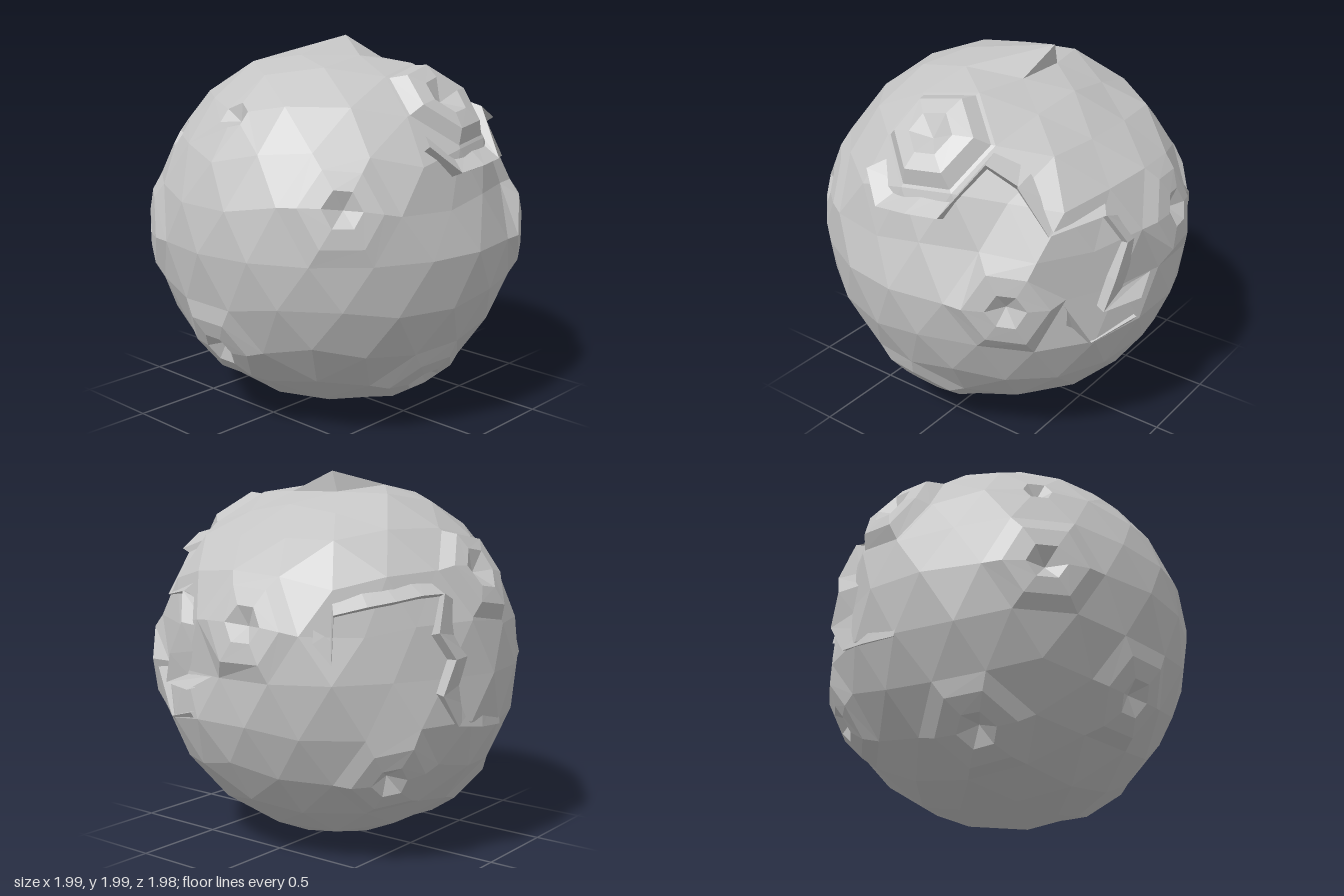
import * as THREE from 'three';
import { mergeVertices } from 'three/addons/utils/BufferGeometryUtils.js';

const V = (a) => new THREE.Vector3(...a);
const stone = new THREE.MeshStandardMaterial({ color: 0xc4c4c4, flatShading: true, side: THREE.DoubleSide });
stone.name = 'grey stone';
const R = 0.988;

// Craters: direction, rim height above the sphere, and whether the rim is a tall block
const craters = [
  { at: [0.02, 0.73, 0.68], rim: 0.05, tall: true },
  { at: [-0.03, 0.5, -0.87], rim: 0.05, tall: true },
  { at: [0.588, 0, 0.809], rim: 0.03 },
  { at: [-0.809, 0, -0.588], rim: 0.025 },
  { at: [-0.74, 0.26, 0.62], rim: 0.012 },
  { at: [-0.1, -0.76, 0.64], rim: 0.025 },
  { at: [-0.85, -0.52, 0.12], rim: 0.025 },
  { at: [-0.4, -0.76, -0.52], rim: 0.025 },
  { at: [0.47, -0.44, -0.77], rim: 0.025 },
  { at: [0.95, 0.26, -0.17], rim: 0.02 },
  { at: [-0.65, 0.55, -0.52], rim: -0.008 },
  { at: [-0.74, 0.67, -0.02], rim: -0.008 },
];

// Lowered ground: direction, reach, depth
const hollows = [
  [[0.9, 0.05, 0.5], 0.26, 0.05],
  [[0.5, 0.36, 0.8], 0.2, 0.05],
  [[0.05, 0.28, 0.96], 0.2, 0.045],
  [[0.55, 0.1, -0.82], 0.33, 0.05],
  [[1, 0, 0], 0.1, 0.035],
  [[0.55, 0.83, 0], 0.42, 0.06],
  [[-0.1, 0.99, 0], 0.3, 0.025],
];

// Broken cliff lines, each sloping back towards a point on its high side
const cliffs = [
  { crest: 1.03, toward: [0.3, 0.9, 0.2], path: [[-0.23, 0.52, 0.82], [-0.1, 0.4, 0.93], [0.08, 0.41, 0.92],
    [0.25, 0.42, 0.89], [0.37, 0.64, 0.67], [0.53, 0.57, 0.64]] },
  { crest: 0.99, toward: [0.6, 0.85, 0], path: [[0.53, 0.57, 0.64], [0.7, 0.35, 0.62], [0.85, 0.4, 0.35]] },
  { crest: 1, toward: [0.95, 0.2, -0.3], path: [[0.85, 0.4, 0.35], [0.93, 0.25, 0.28], [0.92, 0.08, 0.37],
    [0.9, -0.08, 0.43], [0.97, -0.08, 0.2]] },
  { crest: 0.995, toward: [0.6, -0.75, 0.3], path: [[0.8, -0.03, 0.6], [0.85, -0.27, 0.45], [0.96, -0.2, 0.2]] },
  { crest: 1, toward: [0.4, 0.9, -0.2], path: [[0.84, 0.2, -0.5], [0.8, 0.1, -0.58], [0.76, 0.33, -0.56],
    [0.65, 0.37, -0.68], [0.53, 0.39, -0.76], [0.4, 0.41, -0.82], [0.28, 0.41, -0.86]] },
  { crest: 1.005, toward: [-0.45, 0.1, -0.9], path: [[0.28, 0.41, -0.86], [0.37, 0.23, -0.89], [0.3, 0.1, -0.95],
    [0.37, -0.07, -0.92], [0.25, -0.24, -0.94]] },
  { crest: 1, toward: [-0.2, 0.5, -0.85], path: [[0.25, -0.24, -0.94], [0.06, -0.27, -0.96], [-0.14, -0.29, -0.94]] },
];

function meshFrom(points, name) {
  const geo = new THREE.BufferGeometry().setFromPoints(points);
  geo.computeVertexNormals();
  const mesh = new THREE.Mesh(geo, stone);
  mesh.name = name;
  return mesh;
}

// Flat faces between two rows of points
function band(out, a, b, closed) {
  const n = a.length;
  for (let i = 0; i < (closed ? n : n - 1); i++) {
    const j = (i + 1) % n;
    out.push(a[i], a[j], b[j], a[i], b[j], b[i]);
  }
}

// Icosphere made by halving edges twice, with a corner at each pole
function icosphere() {
  const p = new THREE.IcosahedronGeometry(1, 1).attributes.position;
  const points = [];
  for (let i = 0; i < p.count; i += 3) {
    const [a, b, c] = [0, 1, 2].map((k) => new THREE.Vector3().fromBufferAttribute(p, i + k));
    const half = (u, v) => u.clone().add(v).normalize();
    const [ab, bc, ca] = [half(a, b), half(b, c), half(c, a)];
    points.push(a, ab, ca, ab, b, bc, ca, bc, c, ab, bc, ca);
  }
  const geo = new THREE.BufferGeometry().setFromPoints(points);
  return mergeVertices(geo.rotateZ(Math.atan(2 / (1 + Math.sqrt(5)))), 1e-3);
}

function createModel() {
  const group = new THREE.Group();
  group.name = 'rockyMoon';
  const body = new THREE.Group();
  body.name = 'moonBody';
  body.position.set(-0.01, R, 0);
  group.add(body);

  const ico = icosphere();
  const pos = ico.attributes.position;
  const verts = [];
  for (let i = 0; i < pos.count; i++) verts.push(new THREE.Vector3().fromBufferAttribute(pos, i));
  const faces = [];
  for (let i = 0; i < ico.index.count; i += 3) faces.push([0, 1, 2].map((k) => ico.index.getX(i + k)));
  const nearest = (d) => verts.reduce((best, v, i) => (v.dot(d) > verts[best].dot(d) ? i : best), 0);
  const centres = craters.map((c) => nearest(V(c.at).normalize()));
  const top = nearest(new THREE.Vector3(0, 1, 0));

  for (const v of verts) {
    const hollow = hollows.find(([at, reach]) => v.distanceTo(V(at).normalize()) < reach);
    v.multiplyScalar(R - (hollow ? hollow[2] : 0));
  }
  // Off-centre peak
  verts[top].set(0.21, 1, -0.12);

  // Ground, leaving a hole for every crater
  const ground = [];
  for (const f of faces) {
    if (!f.some((i) => centres.includes(i))) ground.push(...f.map((i) => verts[i]));
  }
  body.add(meshFrom(ground, 'ground'));

  // Craters: skirt, raised rim and pit
  craters.forEach((c, k) => {
    const id = centres[k];
    const centre = verts[id].clone().normalize();
    // Follow the surrounding corners in order
    const next = new Map();
    for (const f of faces) {
      const s = f.indexOf(id);
      if (s >= 0) next.set(f[(s + 1) % 3], f[(s + 2) % 3]);
    }
    const start = next.keys().next().value;
    const outer = [start];
    while (next.get(outer[outer.length - 1]) !== start) outer.push(next.get(outer[outer.length - 1]));
    const edge = outer.map((i) => verts[i]);
    const ring = (t, r) => edge.map((v) => centre.clone().multiplyScalar(R).lerp(v, t).setLength(r));
    const high = R + c.rim;
    let rows = [edge, ring(0.68, high), ring(0.33, high)];
    if (c.tall) rows = [edge, ring(0.93, R), ring(0.69, high), ring(0.38, high)];
    if (c.rim < 0) rows = [edge, ring(0.28, high)];
    const pts = [];
    for (let i = 0; i + 1 < rows.length; i++) band(pts, rows[i], rows[i + 1], true);
    const lip = rows[rows.length - 1];
    const pit = centre.clone().multiplyScalar(high - 0.06);
    lip.forEach((p, i) => pts.push(p, lip[(i + 1) % lip.length], pit));
    body.add(meshFrom(pts, 'crater'));
  });

  // Cliffs: sloping top and steep face
  for (const { crest, toward, path } of cliffs) {
    const target = V(toward).normalize();
    const dirs = path.map((p) => V(p).normalize());
    const line = dirs.map((d) => d.clone().multiplyScalar(crest));
    const foot = dirs.map((d) => d.clone().multiplyScalar(0.9));
    const back = dirs.map((d) => {
      const step = target.clone().sub(d).setLength(0.17);
      return d.clone().add(step).setLength(0.94);
    });
    const pts = [];
    band(pts, foot, line, false);
    band(pts, line, back, false);
    body.add(meshFrom(pts, 'cliff'));
  }
  return group;
}

export { createModel };
